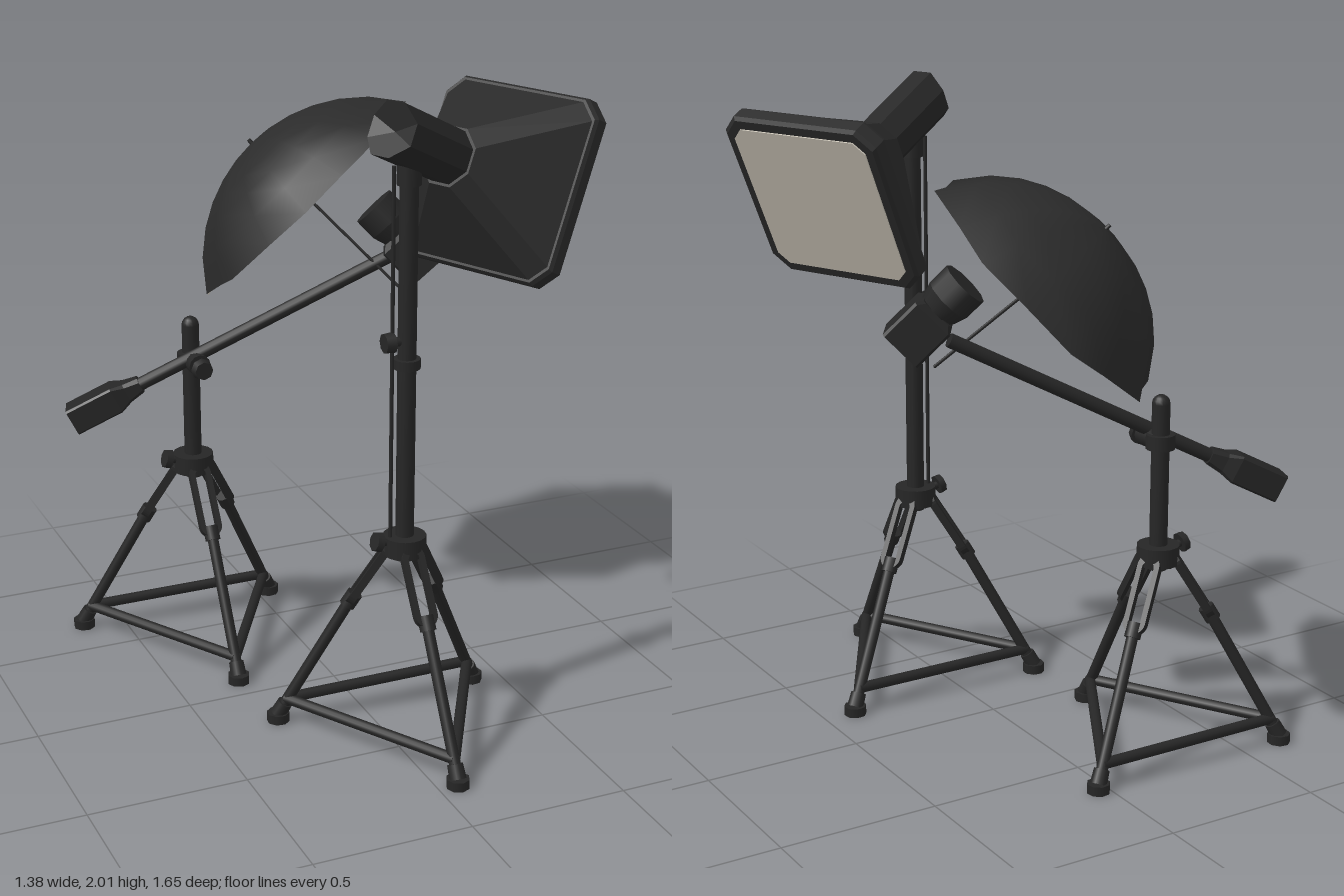
import * as THREE from 'three';

const V = (x, y, z) => new THREE.Vector3(x, y, z);
const mat = (name, color, side = THREE.FrontSide) => {
  const m = new THREE.MeshStandardMaterial({ color, side });
  m.name = name;
  return m;
};

export function createModel() {
  const metal = mat('black metal', 0x262626);
  const fabric = mat('black fabric', 0x2b2b2b);
  const cloth = mat('pale cloth', 0xc8c2b5);
  const model = new THREE.Group();
  model.name = 'studioLights';

  const add = (parent, name, geo, material = metal) => {
    const m = new THREE.Mesh(geo, material);
    m.name = name;
    parent.add(m);
    return m;
  };
  // Round bar between two points
  const rod = (parent, name, a, b, r, r2 = r, sides = 12) => {
    const m = add(parent, name, new THREE.CylinderGeometry(r2, r, a.distanceTo(b), sides));
    m.position.copy(a).add(b).multiplyScalar(0.5);
    m.quaternion.setFromUnitVectors(V(0, 1, 0), b.clone().sub(a).normalize());
    return m;
  };
  // Group whose local z follows a direction and whose x stays level
  const aimed = (name, origin, dir) => {
    const g = new THREE.Group();
    const z = dir.clone().normalize();
    const x = V(0, 1, 0).cross(z).normalize();
    g.name = name;
    g.quaternion.setFromRotationMatrix(new THREE.Matrix4().makeBasis(x, z.clone().cross(x), z));
    g.position.copy(origin);
    model.add(g);
    return g;
  };
  // Flat-faced solid through chamfered squares [z, half size, chamfer]
  const loft = (sections) => {
    const pos = [];
    const rings = sections.map(([z, h, c]) => {
      const k = h - c;
      return [[h, -k], [h, k], [k, h], [-k, h], [-h, k], [-h, -k], [-k, -h], [k, -h]].map(([x, y]) => V(x, y, z));
    });
    const tri = (...p) => p.forEach((v) => pos.push(v.x, v.y, v.z));
    const first = rings[0], last = rings[rings.length - 1];
    for (let j = 0; j < 8; j++) {
      const n = (j + 1) % 8;
      for (let i = 0; i < rings.length - 1; i++) {
        const lo = rings[i], hi = rings[i + 1];
        tri(lo[j], lo[n], hi[n]);
        tri(lo[j], hi[n], hi[j]);
      }
      tri(V(0, 0, first[0].z), first[n], first[j]);
      tri(V(0, 0, last[0].z), last[j], last[n]);
    }
    const g = new THREE.BufferGeometry();
    g.setAttribute('position', new THREE.Float32BufferAttribute(pos, 3));
    g.computeVertexNormals();
    return g;
  };

  // Slotted upper leg bracket
  const stadium = (T, w, h) => {
    const s = new T();
    s.absarc(0, h, w, 0, Math.PI, false);
    s.absarc(0, -h, w, Math.PI, Math.PI * 2, false);
    s.closePath();
    return s;
  };
  const slot = stadium(THREE.Shape, 0.036, 0.088);
  slot.holes.push(stadium(THREE.Path, 0.019, 0.082));
  const slotGeo = new THREE.ExtrudeGeometry(slot, { depth: 0.024, bevelEnabled: false, curveSegments: 6 });
  slotGeo.translate(0, 0, -0.012);

  const tripod = (name, x, z, top) => {
    const g = new THREE.Group();
    g.name = name;
    g.position.set(x, 0, z);
    model.add(g);
    for (let i = 0; i < 3; i++) {
      const leg = new THREE.Group();
      leg.name = 'leg';
      leg.rotation.y = (i * Math.PI * 2) / 3;
      g.add(leg);
      rod(leg, 'foot', V(0, 0, 0.39), V(0, 0.03, 0.39), 0.036, 0.036, 8);
      rod(leg, 'footCuff', V(0, 0.025, 0.39), V(0, 0.065, 0.368), 0.026, 0.024);
      rod(leg, 'lowerLeg', V(0, 0.03, 0.387), V(0, 0.44, 0.16), 0.018);
      rod(leg, 'legJoint', V(0, 0.415, 0.174), V(0, 0.455, 0.15), 0.025);
      const bracket = add(leg, 'legBracket', slotGeo);
      bracket.position.set(0, 0.53, 0.105);
      bracket.rotation.x = -Math.atan2(0.125, 0.2);
      // Brace to the next foot
      const r = 0.365, a = (Math.PI * 2) / 3;
      rod(leg, 'brace', V(0, 0.08, r), V(r * Math.sin(a), 0.08, r * Math.cos(a)), 0.017);
    }
    rod(g, 'hub', V(0, 0.6, 0), V(0, 0.66, 0), 0.066, 0.066, 16);
    rod(g, 'hubKnobStem', V(-0.04, 0.64, 0), V(-0.09, 0.65, 0), 0.012);
    rod(g, 'hubKnob', V(-0.08, 0.648, 0), V(-0.1, 0.654, 0), 0.032, 0.03, 8);
    rod(g, 'pole', V(0, 0.58, 0), V(0, top, 0), 0.028, 0.028, 16);
    return g;
  };

  // Softbox stand
  const boxStand = tripod('softboxStand', 0.06, 0.395, 1.82);
  rod(boxStand, 'poleCollar', V(0, 1.195, 0), V(0, 1.225, 0), 0.041, 0.041, 16);
  rod(boxStand, 'poleKnobStem', V(0, 1.28, 0), V(-0.06, 1.28, 0), 0.014);
  rod(boxStand, 'poleKnob', V(-0.045, 1.28, 0), V(-0.075, 1.28, 0), 0.033, 0.03, 8);
  rod(boxStand, 'cable', V(-0.048, 0.64, 0), V(-0.048, 1.81, 0), 0.006, 0.006, 6);
  rod(boxStand, 'poleHead', V(0, 1.75, 0), V(0, 1.83, 0), 0.036, 0.036, 16);

  // Softbox with its lamp behind
  const softbox = aimed('softbox', V(0.47, 1.667, 0.22), V(0.82, -0.435, -0.369));
  add(softbox, 'hood', loft([[-0.315, 0.088, 0.05], [-0.06, 0.272, 0.05]]), fabric);
  add(softbox, 'rim', loft([[-0.062, 0.278, 0.052], [-0.05, 0.285, 0.054], [-0.01, 0.285, 0.054], [0, 0.275, 0.052]]), fabric);
  add(softbox, 'diffuser', loft([[-0.002, 0.247, 0.035], [0.004, 0.247, 0.035]]), cloth);
  const lampGeo = loft([[-0.612, 0.08, 0.047], [-0.3, 0.08, 0.047]]);
  const lp = lampGeo.attributes.position;
  for (let i = 0; i < lp.count; i++) {
    if (lp.getZ(i) < -0.6) lp.setZ(i, lp.getZ(i) + 0.035 * (1 - Math.abs(lp.getY(i)) / 0.08));
  }
  lampGeo.computeVertexNormals();
  add(softbox, 'lampBody', lampGeo);

  // Boom stand
  const boomStand = tripod('boomStand', -0.3, -0.475, 1.105);
  const cap = add(boomStand, 'poleCap', new THREE.SphereGeometry(0.028, 16, 8));
  cap.position.y = 1.105;
  rod(boomStand, 'poleCollar', V(0, 0.965, 0), V(0, 1.01, 0), 0.045, 0.045, 16);
  rod(boomStand, 'boomClamp', V(0, 0.99, 0), V(0, 0.99, 0.085), 0.036, 0.036, 12);
  rod(boomStand, 'clampKnobStem', V(0, 0.985, 0.06), V(0, 0.985, 0.12), 0.014);
  rod(boomStand, 'clampKnob', V(0, 0.985, 0.1), V(0, 0.985, 0.125), 0.036, 0.03, 8);

  // Boom arm and counterweight
  const boom = aimed('boom', V(-0.3, 1.01, -0.435), V(1, 0.536, 0.33));
  rod(boom, 'boomArm', V(0, 0, -0.3), V(0, 0, 0.7), 0.022);
  add(boom, 'counterweight', loft([[-0.45, 0.045, 0.006], [-0.29, 0.045, 0.006], [-0.25, 0.033, 0.01], [-0.2, 0.026, 0.012]]));

  // Lamp aimed into the umbrella
  const axis = V(0.59, -0.71, 0.385).normalize();
  const lamp = aimed('umbrellaLamp', V(0.36, 1.36, -0.185), axis.clone().negate());
  add(lamp, 'lampBody', loft([[-0.075, 0.07, 0.008], [0.06, 0.07, 0.008], [0.078, 0.055, 0.01]]));
  rod(lamp, 'reflectorNeck', V(0, 0, 0.06), V(0, 0, 0.12), 0.055, 0.075, 10);
  rod(lamp, 'reflector', V(0, 0, 0.12), V(0, 0, 0.19), 0.075, 0.075, 10);

  // Eight-rib umbrella, local y pointing out of the opening
  const umbrella = new THREE.Group();
  umbrella.name = 'umbrella';
  const zAxis = V(0.382, -0.177, -0.907).cross(axis).normalize();
  const xAxis = axis.clone().cross(zAxis);
  umbrella.quaternion.setFromRotationMatrix(new THREE.Matrix4().makeBasis(xAxis, axis, zAxis));
  umbrella.position.set(0.08, 1.5, -0.43);
  model.add(umbrella);
  const canopy = (inner) => {
    const pts = [];
    for (let i = 0; i <= 6; i++) {
      const r = (0.445 * i) / 6;
      pts.push(new THREE.Vector2(Math.max(r, 0.0001), 0.283 - Math.sqrt(0.523 ** 2 - r * r) + (inner ? 0.006 : 0)));
    }
    if (inner) pts.reverse();
    const g = new THREE.LatheGeometry(pts, 16);
    const p = g.attributes.position;
    // Pull the cloth in between the ribs
    for (let i = 0; i < p.count; i++) {
      const seg = Math.floor(i / pts.length);
      if (seg % 2) {
        p.setX(i, p.getX(i) * 0.905);
        p.setZ(i, p.getZ(i) * 0.905);
      }
    }
    const out = inner ? g.toNonIndexed() : g;
    out.computeVertexNormals();
    return out;
  };
  add(umbrella, 'canopy', canopy(false), fabric);
  add(umbrella, 'lining', canopy(true), cloth);
  rod(umbrella, 'canopyTip', V(0, -0.255, 0), V(0, -0.22, 0), 0.006, 0.008, 8);
  rod(model, 'umbrellaShaft', V(-0.06, 1.67, -0.52), V(0.31, 1.235, -0.18), 0.005, 0.005, 8);

  return model;
}
